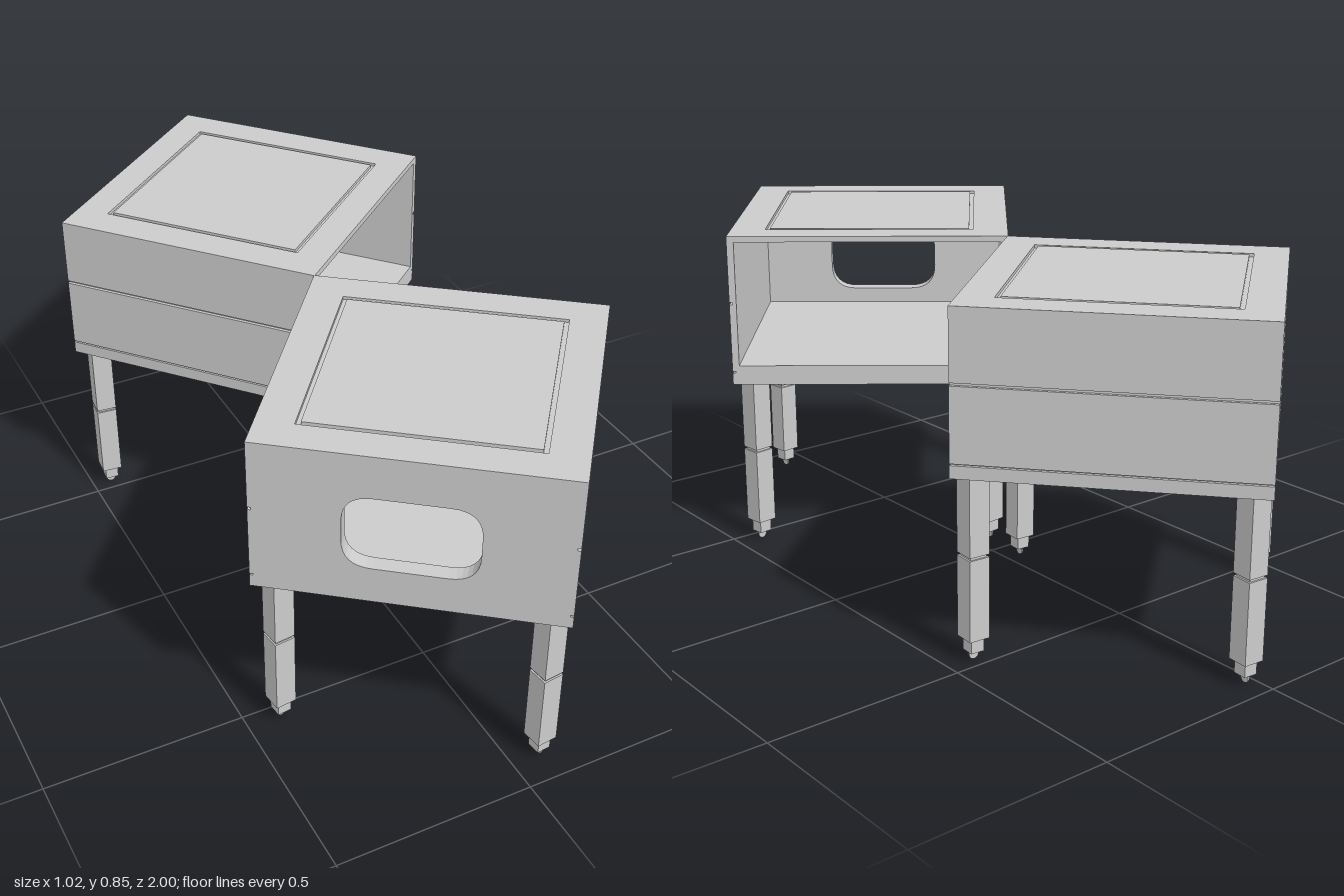
import * as THREE from 'three';

const W = 0.716, D = 0.707;           // pod width and depth
const BASE = 0.457, ROOF = 0.842, TOP = 0.85;
const WALL = 0.04;                    // thickness of the closed end

const mat = new THREE.MeshStandardMaterial({ color: 0xcccccc, flatShading: true });
const smooth = new THREE.MeshStandardMaterial({ color: 0xcccccc });

function add(parent, name, geometry, x = 0, y = 0, z = 0, material = mat) {
  const mesh = new THREE.Mesh(geometry, material);
  mesh.name = name;
  mesh.position.set(x, y, z);
  parent.add(mesh);
  return mesh;
}

const extrude = (shape, depth) =>
  new THREE.ExtrudeGeometry(shape, { depth, bevelEnabled: false, curveSegments: 8 });

const polygon = (points, Type = THREE.Shape) =>
  new Type(points.map(([x, y]) => new THREE.Vector2(x, y)));

const rect = (hw, y0, y1, Type) => polygon([[-hw, y0], [hw, y0], [hw, y1], [-hw, y1]], Type);

// Polygon with every corner rounded by its own radius
function roundedPath(corners) {
  const path = new THREE.Path();
  const n = corners.length;
  const toward = (p, q, r) => new THREE.Vector2(q[0] - p[0], q[1] - p[1])
    .setLength(r).add(new THREE.Vector2(p[0], p[1]));
  corners.forEach((c, i) => {
    const a = toward(c, corners[(i + n - 1) % n], c[2]);
    const b = toward(c, corners[(i + 1) % n], c[2]);
    if (i === 0) path.moveTo(a.x, a.y); else path.lineTo(a.x, a.y);
    path.quadraticCurveTo(c[0], c[1], b.x, b.y);
  });
  path.closePath();
  return path;
}

// Pod cross-section with thin grooves along both sides
function outline() {
  const h = W / 2, cut = h - 0.008;
  const side = [[h, BASE]];
  for (const [y0, y1] of [[0.488, 0.492], [0.671, 0.678]]) {
    side.push([h, y0], [cut, y0], [cut, y1], [h, y1]);
  }
  side.push([h, ROOF]);
  const mirrored = side.map(([x, y]) => [-x, y]).reverse();
  return polygon([...side, ...mirrored]);
}

// Square leg in two segments, with a foot block and a thin wheel
function makeLeg(x, z) {
  const leg = new THREE.Group();
  leg.name = 'leg';
  const block = (name, s, y0, y1) =>
    add(leg, name, new THREE.BoxGeometry(s, y1 - y0, s), 0, (y0 + y1) / 2, 0);
  block('upperLeg', 0.053, 0.264, BASE + 0.002);
  block('legJoint', 0.044, 0.25, 0.27);
  block('lowerLeg', 0.053, 0.056, 0.257);
  block('footBlock', 0.035, 0.022, 0.057);
  const wheel = new THREE.CylinderGeometry(0.0125, 0.0125, 0.004, 20).rotateX(Math.PI / 2);
  add(leg, 'wheel', wheel, 0, 0.0125, 0, smooth);
  leg.position.set(x, 0, z);
  leg.rotation.y = Math.atan2(-Math.sign(z), Math.sign(x));
  return leg;
}

// Hollow pod: open at -z, closed at +z by a wall with cut-outs
function makePod(name, holes, legDepth) {
  const pod = new THREE.Group();
  pod.name = name;

  const shell = outline();
  shell.holes.push(rect(W / 2 - 0.018, 0.508, 0.835, THREE.Path));
  add(pod, 'shell', extrude(shell, D - WALL), 0, 0, -D / 2);

  const wall = outline();
  wall.holes.push(...holes);
  add(pod, 'endWall', extrude(wall, WALL), 0, 0, D / 2 - WALL);

  // Roof frame and centre panel, parted by a square groove
  const frame = rect(W / 2, -D / 2, D / 2);
  frame.holes.push(rect(0.269, -0.269, 0.269, THREE.Path));
  const roof = (part, shape) =>
    add(pod, part, extrude(shape, TOP - ROOF).rotateX(-Math.PI / 2), 0, ROOF, 0);
  roof('roofFrame', frame);
  roof('roofPanel', rect(0.258, -0.258, 0.258));

  for (const sx of [-1, 1]) for (const sz of [-1, 1]) {
    pod.add(makeLeg(sx * 0.31, sz * legDepth));
  }
  return pod;
}

export function createModel() {
  const model = new THREE.Group();
  model.name = 'twinPods';

  // Front pod with one rounded window
  const r = 0.07;
  const window = roundedPath([
    [-0.152, 0.55, r], [0.152, 0.55, r], [0.152, 0.741, r], [-0.152, 0.741, r],
  ]);
  const front = makePod('frontPod', [window], 0.288);
  front.position.set(0.01, 0, 0.498);
  front.rotation.y = -0.667;

  // Back pod with a mirrored pair of tapered windows
  const tapered = [-1, 1].map((s) => roundedPath([
    [s * 0.283, 0.56, 0.006], [s * 0.095, 0.627, 0.025],
    [s * 0.095, 0.707, 0.025], [s * 0.283, 0.776, 0.006],
  ]));
  const back = makePod('backPod', tapered, 0.31);
  back.position.set(-0.01, 0, -0.5);
  back.rotation.y = -2.434;

  model.add(front, back);
  return model;
}
